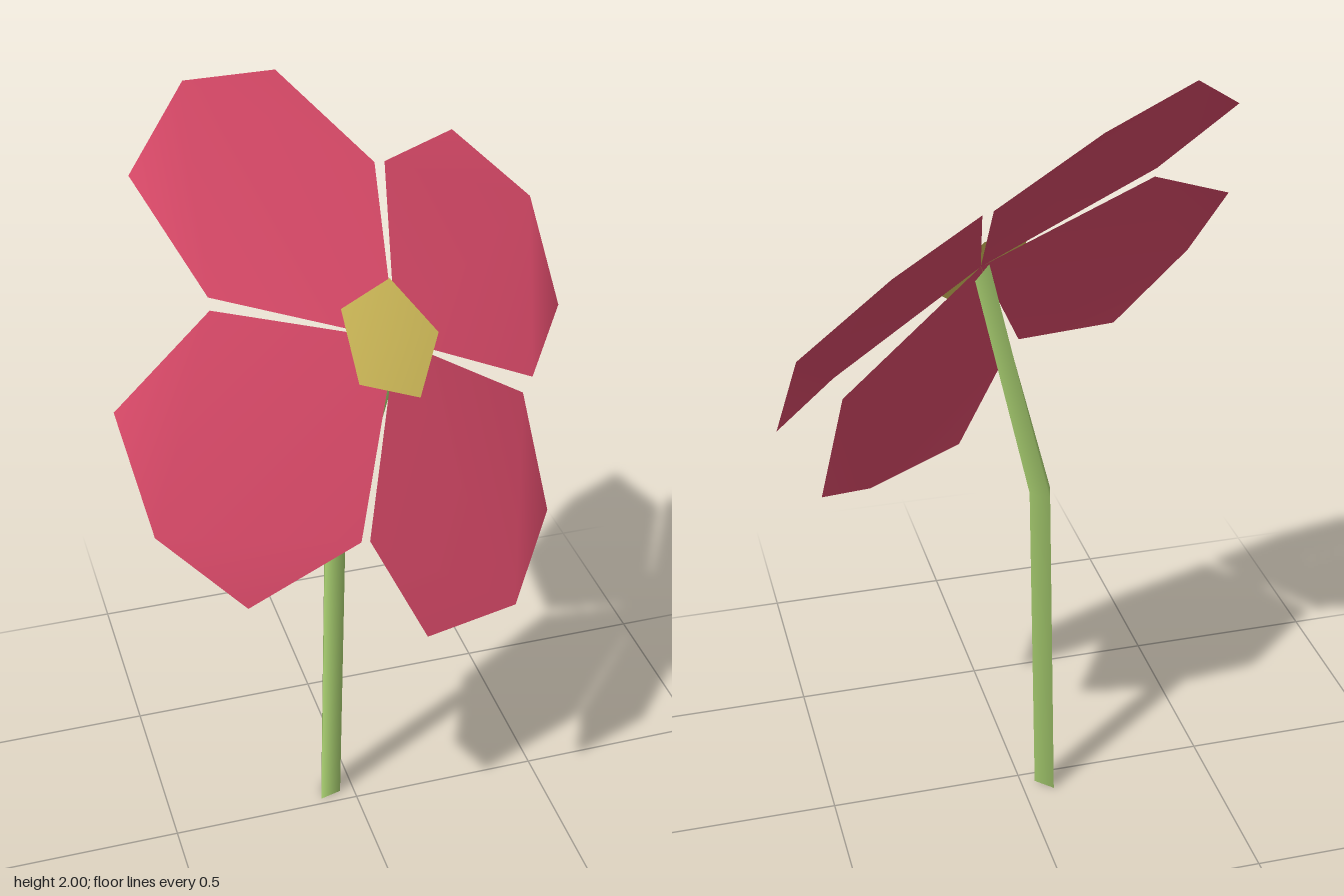
import * as THREE from 'three';

const mat = (name, color, side = THREE.DoubleSide) => {
  const m = new THREE.MeshStandardMaterial({ color, side });
  m.name = name;
  return m;
};

// Smooth fan of triangles from one point to a clockwise rim (seen from the front)
function fan(start, rim, closed) {
  const index = [];
  for (let i = 1; i < rim.length; i++) index.push(0, i + 1, i);
  if (closed) index.push(0, 1, rim.length);
  const g = new THREE.BufferGeometry();
  g.setAttribute('position', new THREE.Float32BufferAttribute([start, ...rim].flat(), 3));
  g.setIndex(index);
  g.computeVertexNormals();
  return g;
}

export function createModel() {
  const group = new THREE.Group();
  group.name = 'flower';
  const pink = mat('petalPink', 0xe84f70);
  const yellow = mat('centreYellow', 0xe4cd62);
  const green = mat('stemGreen', 0xb1d976);
  const add = (name, geometry, material) => {
    const mesh = new THREE.Mesh(geometry, material);
    mesh.name = name;
    group.add(mesh);
  };

  // Four domed petals meeting at one hub, each fanned from its tip
  const hub = [0.07, 1.464, 0.079];
  const petals = {
    upperRightPetal: [[-0.37, 1.657, 0.109], [-0.492, 1.873, -0.09], [-0.325, 2, -0.274], [-0.079, 1.949, -0.4], [0.124, 1.746, -0.268]],
    upperLeftPetal: [[0.151, 1.742, -0.275], [0.39, 1.708, -0.478], [0.588, 1.522, -0.428], [0.62, 1.283, -0.276], [0.446, 1.256, 0]],
    lowerLeftPetal: [[0.429, 1.206, -0.014], [0.479, 0.901, 0.067], [0.323, 0.788, 0.273], [0.062, 0.826, 0.378], [-0.073, 1.111, 0.351]],
    lowerRightPetal: [[-0.097, 1.121, 0.363], [-0.39, 1.081, 0.478], [-0.579, 1.286, 0.444], [-0.62, 1.506, 0.276], [-0.37, 1.631, 0.121]],
  };
  for (const [name, r] of Object.entries(petals)) {
    add(name, fan(r[2], [r[3], r[4], hub, r[0], r[1]], false), pink);
  }

  // Pentagonal flower centre
  const centre = [[-0.06, 1.563, 0.077], [0.086, 1.569, -0.022], [0.193, 1.434, 0.024], [0.11, 1.341, 0.147], [-0.047, 1.421, 0.179]];
  add('flowerCentre', fan([0.058, 1.474, 0.09], centre, true), yellow);

  // Three-sided open stem with one bend; the top is cut parallel to the flower
  const rings = [
    { x: -0.07, y: 0, z: -0.043, r: 0.034, slopeX: 0, slopeZ: 0 },
    { x: -0.066, y: 0.868, z: 0.004, r: 0.034, slopeX: 0, slopeZ: 0 },
    { x: 0.061, y: 1.448, z: 0.077, r: 0.023, slopeX: -0.66, slopeZ: -1.23 },
  ];
  const stem = new THREE.CylinderGeometry(1, 1, 2, 3, 2, true, -Math.PI / 4);
  const p = stem.attributes.position;
  for (let i = 0; i < p.count; i++) {
    const k = rings[Math.round(p.getY(i)) + 1];
    const dx = p.getX(i) * k.r, dz = p.getZ(i) * k.r;
    p.setXYZ(i, k.x + dx, k.y + dx * k.slopeX + dz * k.slopeZ, k.z + dz);
  }
  add('stem', stem, green);

  return group;
}
